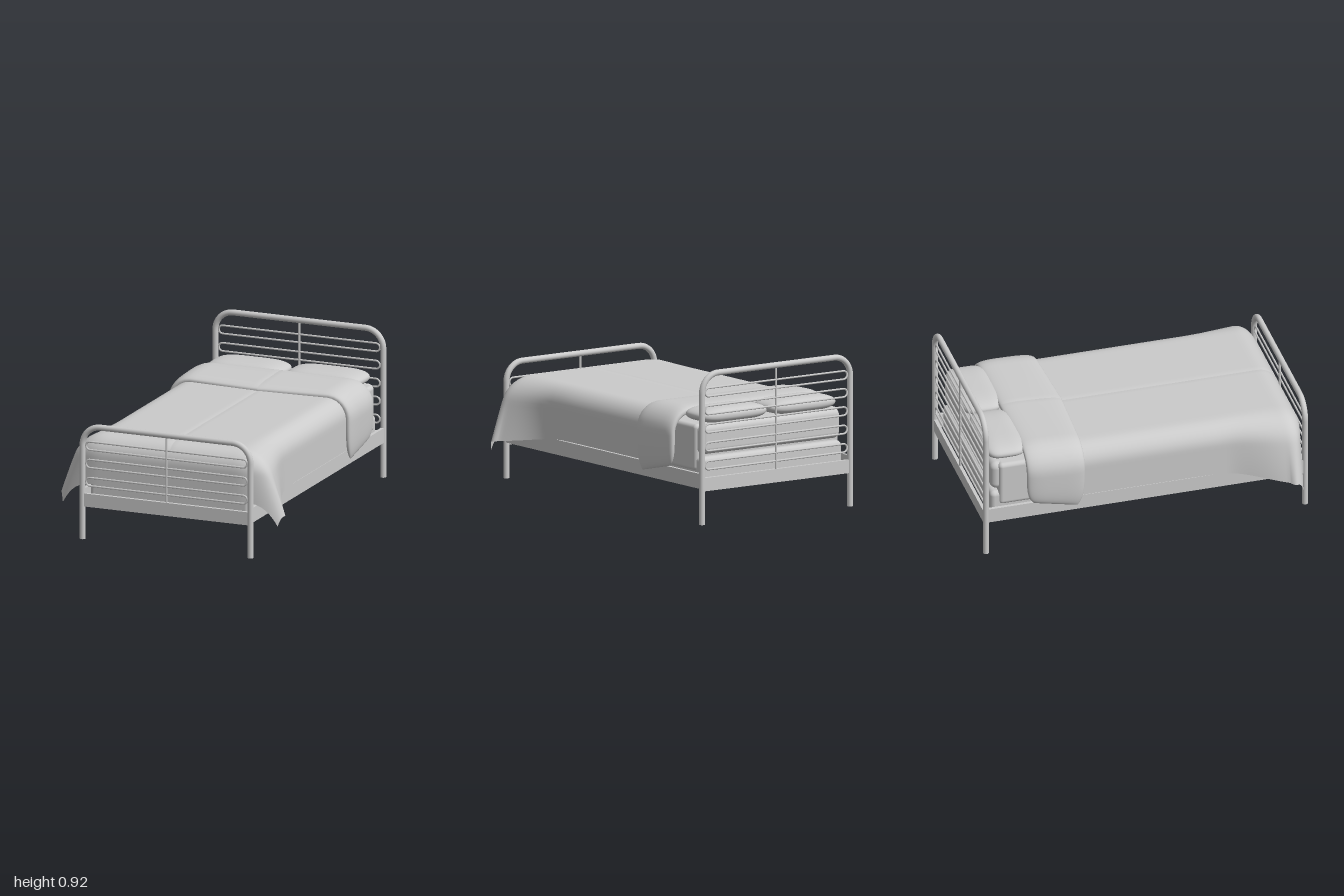
import * as THREE from 'three';
import { mergeVertices } from 'three/addons/utils/BufferGeometryUtils.js';
import { RoundedBoxGeometry } from 'three/addons/geometries/RoundedBoxGeometry.js';

const metal = new THREE.MeshStandardMaterial({ color: 0xcccccc });
const cloth = new THREE.MeshStandardMaterial({ color: 0xcccccc, side: THREE.DoubleSide });
const { smoothstep } = THREE.MathUtils;
const signedPow = (v, p) => Math.sign(v) * Math.pow(Math.abs(v), p);

function add(parent, name, geometry, material, x = 0, y = 0, z = 0) {
  const mesh = new THREE.Mesh(geometry, material);
  mesh.name = name;
  mesh.position.set(x, y, z);
  parent.add(mesh);
  return mesh;
}

// Tube along a polyline in the XY plane, with circular fillets at its corners
function filletTube(points, fillet, radius, closed, segments, sides) {
  const pts = points.map(([x, y]) => new THREE.Vector3(x, y, 0));
  const n = pts.length, path = new THREE.CurvePath();
  const towards = (a, b) => b.clone().sub(a).setLength(fillet).add(a);
  let cursor = closed ? towards(pts[0], pts[1]) : pts[0];
  for (let i = 1; i < (closed ? n + 1 : n - 1); i++) {
    const p = pts[i % n], from = towards(p, pts[i - 1]), to = towards(p, pts[(i + 1) % n]);
    if (cursor.distanceTo(from) > 1e-4) path.add(new THREE.LineCurve3(cursor, from));
    path.add(new THREE.CubicBezierCurve3(from, from.clone().lerp(p, 0.552), to.clone().lerp(p, 0.552), to));
    cursor = to;
  }
  if (!closed) path.add(new THREE.LineCurve3(cursor, pts[n - 1]));
  return new THREE.TubeGeometry(path, segments, radius, sides, closed);
}

// Smooth surface over a grid of u and v values
function gridSurface(us, vs, pointAt) {
  const pos = [], index = [], nv = vs.length;
  us.forEach((u) => vs.forEach((v) => pos.push(...pointAt(u, v))));
  for (let i = 0; i < us.length - 1; i++)
    for (let j = 0; j < nv - 1; j++) {
      const a = i * nv + j, c = a + nv;
      index.push(a, a + 1, c, a + 1, c + 1, c);
    }
  let g = new THREE.BufferGeometry();
  g.setAttribute('position', new THREE.Float32BufferAttribute(pos, 3));
  g.setIndex(index);
  g = mergeVertices(g, 1e-5);
  g.computeVertexNormals();
  return g;
}

// Samples across the bed: close together at the centre seam and at the hems
function acrossSamples(max, n) {
  const half = [0.004];
  for (let k = 1; k <= n; k++) half.push(max * Math.sin((k / n) * Math.PI / 2));
  return [...half.map((v) => -v).reverse(), 0, ...half];
}
const range = (a, b, n) => Array.from({ length: n + 1 }, (_, i) => a + ((b - a) * i) / n);

// Distance past an edge turned into a rounded shoulder and a straight fall
function hang(r, R) {
  const arc = (R * Math.PI) / 2;
  return r < arc
    ? { out: R * Math.sin(r / R), drop: R * (1 - Math.cos(r / R)), angle: r / R }
    : { out: R, drop: R + r - arc, angle: Math.PI / 2 };
}

// Bent-tube end frame with stadium rings, a centre bar and a cross rail
function endFrame(name, z, top, ringHeights) {
  const g = new THREE.Group();
  g.name = name;
  g.position.z = z;
  const X = 0.541, R = 0.018;
  add(g, 'bentTube', filletTube([[-X, 0], [-X, top - R], [X, top - R], [X, 0]], 0.115, R, false, 160, 16), metal);
  for (const s of [-1, 1]) add(g, 'footCap', new THREE.CylinderGeometry(R, R, 0.01, 16), metal, s * X, 0.005, 0);
  for (const y of ringHeights) {
    const w = 0.519, h = 0.025;
    add(g, 'railRing', filletTube([[-w, -h], [w, -h], [w, h], [-w, h]], h, 0.006, true, 200, 8), metal, 0, y, 0);
  }
  add(g, 'centreBar', new THREE.CylinderGeometry(0.007, 0.007, top - 0.3, 10), metal, 0, (top + 0.26) / 2, 0);
  add(g, 'crossRail', new THREE.BoxGeometry(1.06, 0.08, 0.02), metal, 0, 0.24, 0);
  return g;
}

// Duvet draped over the sides and foot, with flared hanging corners
function duvetGeometry() {
  const R = 0.12, x0 = 0.44, z0 = 0.845, sideHang = 0.383, footHang = 0.36;
  const vs = [...range(-0.6, 0.4, 8), ...range(0.45, z0 + footHang, 36)];
  return gridSurface(acrossSamples(x0 + sideHang, 36), vs, (u, v) => {
    const a = Math.max(0, Math.abs(u) - x0), b = Math.max(0, v - z0);
    const len = Math.hypot(a, b) || 1;
    const { out, drop } = hang(Math.pow(a ** 4 + b ** 4, 0.25), R);
    const t = a / sideHang;
    const flare = 0.165 * smoothstep(v, 0.5, 0.98) * t;
    const x = Math.min(Math.abs(u), x0) + (out * a) / len + flare;
    const y = 0.627 - drop - 0.06 * smoothstep(v, 0.35, 0.95) * t * t - (u === 0 ? 0.005 : 0);
    return [Math.sign(u) * x, y, Math.min(v, z0) + (out * b) / len];
  });
}

// Thick turned-back band of the duvet near the pillows
function foldGeometry() {
  const R = 0.13, x0 = 0.44, U = x0 + R * Math.PI / 2 + 0.25;
  return gridSurface(acrossSamples(U, 36), range(0, Math.PI * 2, 40), (u, th) => {
    const t = Math.abs(u) / U;
    const { out, drop, angle } = hang(Math.max(0, Math.abs(u) - x0), R);
    const side = -signedPow(Math.cos(th), 0.6);
    const thick = 0.031 * Math.sqrt(Math.max(0, 1 - t ** 12)) * signedPow(Math.sin(th), 0.75);
    const dz = 0.178 * (1 - 0.25 * t ** 16) * side;
    const point = side > 0 ? 0.025 * side * Math.max(0, 1 - Math.abs(u) / 0.5) : 0;
    const groove = u === 0 ? 0.005 * Math.sin(th) : 0;
    const x = Math.min(Math.abs(u), x0) + out + thick * Math.sin(angle);
    const y = 0.635 - drop + thick * Math.cos(angle) - groove + 0.03 * (1 - side) * t ** 6 - 0.008 * side * (1 - t);
    return [Math.sign(u) * x, y, -0.56 + dz + point];
  });
}

// Plump pillow: a sphere squared off in plan
function pillowGeometry(a, h, c) {
  let g = new THREE.SphereGeometry(1, 48, 28);
  const p = g.attributes.position;
  for (let i = 0; i < p.count; i++) {
    const x = p.getX(i), y = p.getY(i), z = p.getZ(i), r = Math.hypot(x, z);
    const k = r > 1e-6 ? Math.pow(r, 0.6) : 0, d = r || 1;
    p.setXYZ(i, a * k * signedPow(x / d, 0.5), h * signedPow(y, 0.9), c * k * signedPow(z / d, 0.5));
  }
  g.deleteAttribute('uv');
  g.deleteAttribute('normal');
  g = mergeVertices(g, 1e-5);
  g.computeVertexNormals();
  return g;
}

export function createModel() {
  const bed = new THREE.Group();
  bed.name = 'bed';

  // Metal frame
  bed.add(endFrame('headboard', -0.982, 0.92, [0.79, 0.683, 0.573, 0.463, 0.352]));
  bed.add(endFrame('footboard', 0.982, 0.71, [0.573, 0.463, 0.352]));
  for (const s of [-1, 1])
    add(bed, 'sideRail', new THREE.BoxGeometry(0.02, 0.09, 1.94), metal, s * 0.542, 0.26, 0);

  // Base, mattress and fitted sheet
  add(bed, 'bedBase', new RoundedBoxGeometry(1.03, 0.185, 1.89, 4, 0.03), metal, 0, 0.3, 0);
  add(bed, 'mattress', new RoundedBoxGeometry(1.02, 0.18, 1.88, 4, 0.04), metal, 0, 0.495, 0);
  add(bed, 'fittedSheet', new RoundedBoxGeometry(1.05, 0.28, 1.79, 4, 0.025), metal, 0, 0.445, 0);

  // Bedding
  add(bed, 'duvet', duvetGeometry(), cloth);
  add(bed, 'duvetFold', foldGeometry(), cloth);
  for (const s of [-1, 1])
    add(bed, 'pillow', pillowGeometry(0.244, 0.047, 0.13), metal, s * 0.252, 0.627, -0.828);

  return bed;
}
